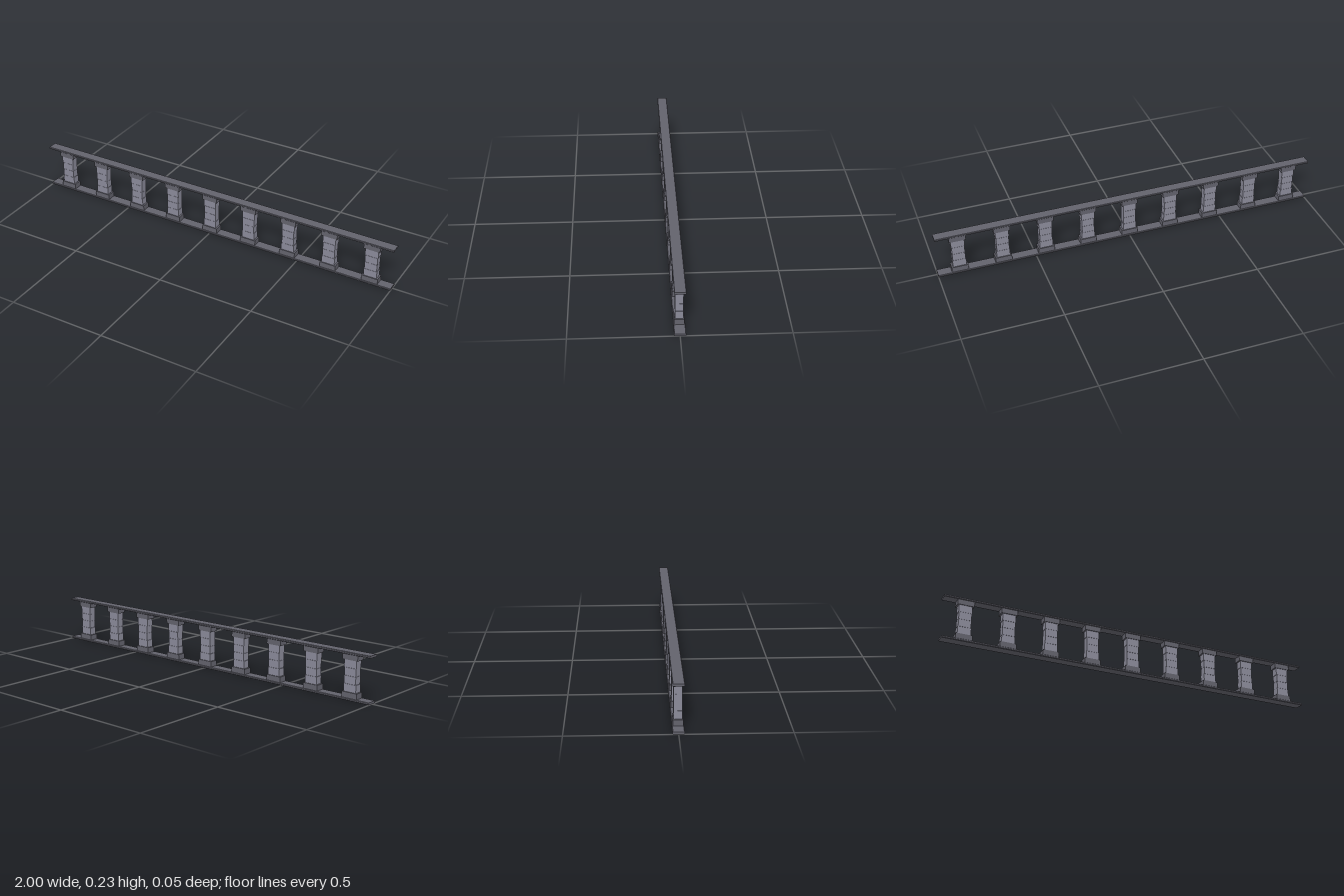
import * as THREE from 'three';

export function createModel() {
  const root = new THREE.Group();
  root.name = 'balustrade';
  const darkStone = new THREE.MeshStandardMaterial({ name: 'darkStone', color: 0x62626c });
  const lightStone = new THREE.MeshStandardMaterial({ name: 'lightStone', color: 0x8a8a99 });

  const add = (parent, name, geometry, material, x, y) => {
    const mesh = new THREE.Mesh(geometry, material);
    mesh.name = name;
    mesh.position.set(x, y, 0);
    parent.add(mesh);
  };

  // Rail section with small chamfers, extruded along x
  const bay = 2 / 3, h = 0.0055, w = 0.027, c = 0.0025;
  const section = new THREE.Shape([
    [-w + c, -h], [w - c, -h], [w, -h + c], [w, h - c],
    [w - c, h], [-w + c, h], [-w, h - c], [-w, -h + c],
  ].map(([x, y]) => new THREE.Vector2(x, y)));
  const rail = new THREE.ExtrudeGeometry(section, { depth: bay, bevelEnabled: false });
  rail.translate(0, 0, -bay / 2).rotateY(Math.PI / 2);

  const cap = new THREE.BoxGeometry(0.084, 0.028, 0.046);
  const outerBlock = new THREE.BoxGeometry(0.068, 0.038, 0.038);
  const innerBlock = new THREE.BoxGeometry(0.064, 0.038, 0.038);

  // Three equal bays, each with two rails and three pillars
  for (let i = -1; i <= 1; i++) {
    const group = new THREE.Group();
    group.name = 'bay';
    group.position.x = i * bay;
    root.add(group);
    add(group, 'bottomRail', rail, darkStone, 0, h);
    add(group, 'topRail', rail, darkStone, 0, 0.231 - h);

    for (let j = -1; j <= 1; j++) {
      const pillar = new THREE.Group();
      pillar.name = 'pillar';
      pillar.position.x = j * bay / 3;
      group.add(pillar);
      add(pillar, 'base', cap, darkStone, 0, 0.025);
      add(pillar, 'capital', cap, darkStone, 0, 0.2075);
      // Stacked shaft blocks, slightly narrower at the middle
      for (let k = 0; k < 4; k++) {
        const block = k === 0 || k === 3 ? outerBlock : innerBlock;
        add(pillar, 'shaftBlock', block, lightStone, 0, 0.0585 + k * 0.0388);
      }
    }
  }
  return root;
}
